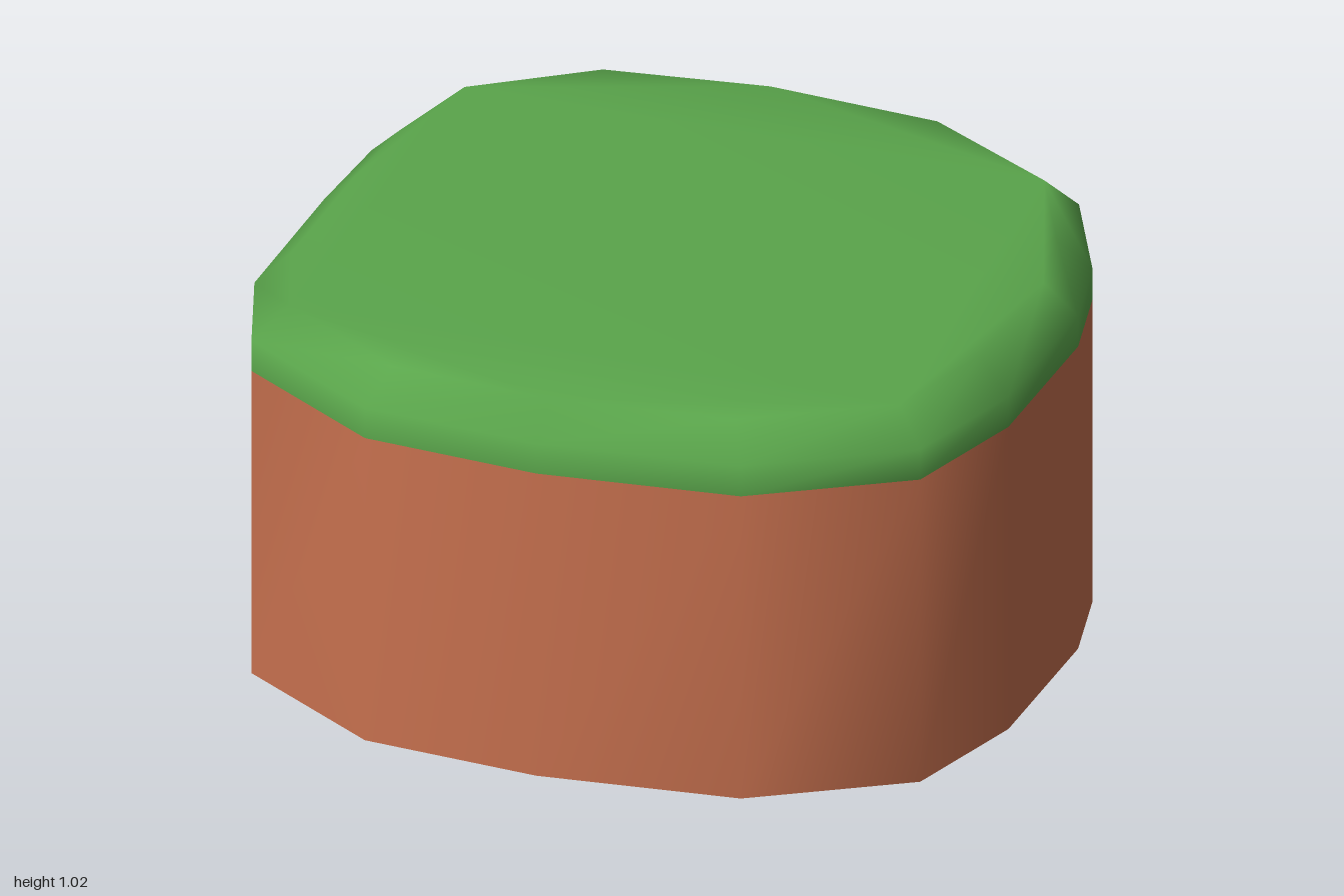
import * as THREE from 'three';

// Rounded, slightly irregular plan outline as [x, z], running back -> left -> front -> right
const OUTLINE = [
  [-0.066, -0.96], [0.43, -0.91], [0.815, -0.675], [0.955, -0.36],
  [1, -0.11], [0.97, 0.35], [0.85, 0.685], [0.455, 0.91],
  [-0.066, 0.955], [-0.53, 0.91], [-0.91, 0.66], [-1, 0.365],
  [-0.975, -0.11], [-0.945, -0.395], [-0.855, -0.695], [-0.53, -0.91],
];
const SEAM = 0.85;

// Skin stacked copies of the outline; each level is [y, scale]
function loft(levels, closeTop) {
  const n = OUTLINE.length;
  const positions = [];
  const index = [];
  for (const [y, s] of levels) {
    for (const [x, z] of OUTLINE) positions.push(x * s, y, z * s);
  }
  for (let k = 0; k < levels.length - 1; k++) {
    for (let i = 0; i < n; i++) {
      const a = k * n + i;
      const b = k * n + ((i + 1) % n);
      index.push(b, a, a + n, b, a + n, b + n);
    }
  }
  if (closeTop) {
    const base = (levels.length - 1) * n;
    const contour = OUTLINE.map(([x, z]) => new THREE.Vector2(x, z));
    for (const [a, b, c] of THREE.ShapeUtils.triangulateShape(contour, [])) {
      index.push(base + a, base + c, base + b);
    }
  }
  const geometry = new THREE.BufferGeometry();
  geometry.setAttribute('position', new THREE.Float32BufferAttribute(positions, 3));
  geometry.setIndex(index);
  geometry.computeVertexNormals();
  return geometry;
}

export function createModel() {
  const earth = new THREE.MeshStandardMaterial({ color: 0xc8714f, side: THREE.DoubleSide });
  earth.name = 'terracotta earth';
  const grass = new THREE.MeshStandardMaterial({ color: 0x5aa54b, side: THREE.DoubleSide });
  grass.name = 'grass green';

  // Thin earth wall, open at the bottom
  const wall = new THREE.Mesh(loft([[0, 1], [SEAM, 1]], false), earth);
  wall.name = 'earthWall';

  // Grass cap: short upright band, sloped rim and flat top
  const cap = new THREE.Mesh(loft([[SEAM, 1], [0.935, 1], [1.02, 0.913]], true), grass);
  cap.name = 'grassCap';

  const model = new THREE.Group();
  model.name = 'groundBlock';
  model.add(wall, cap);
  return model;
}
